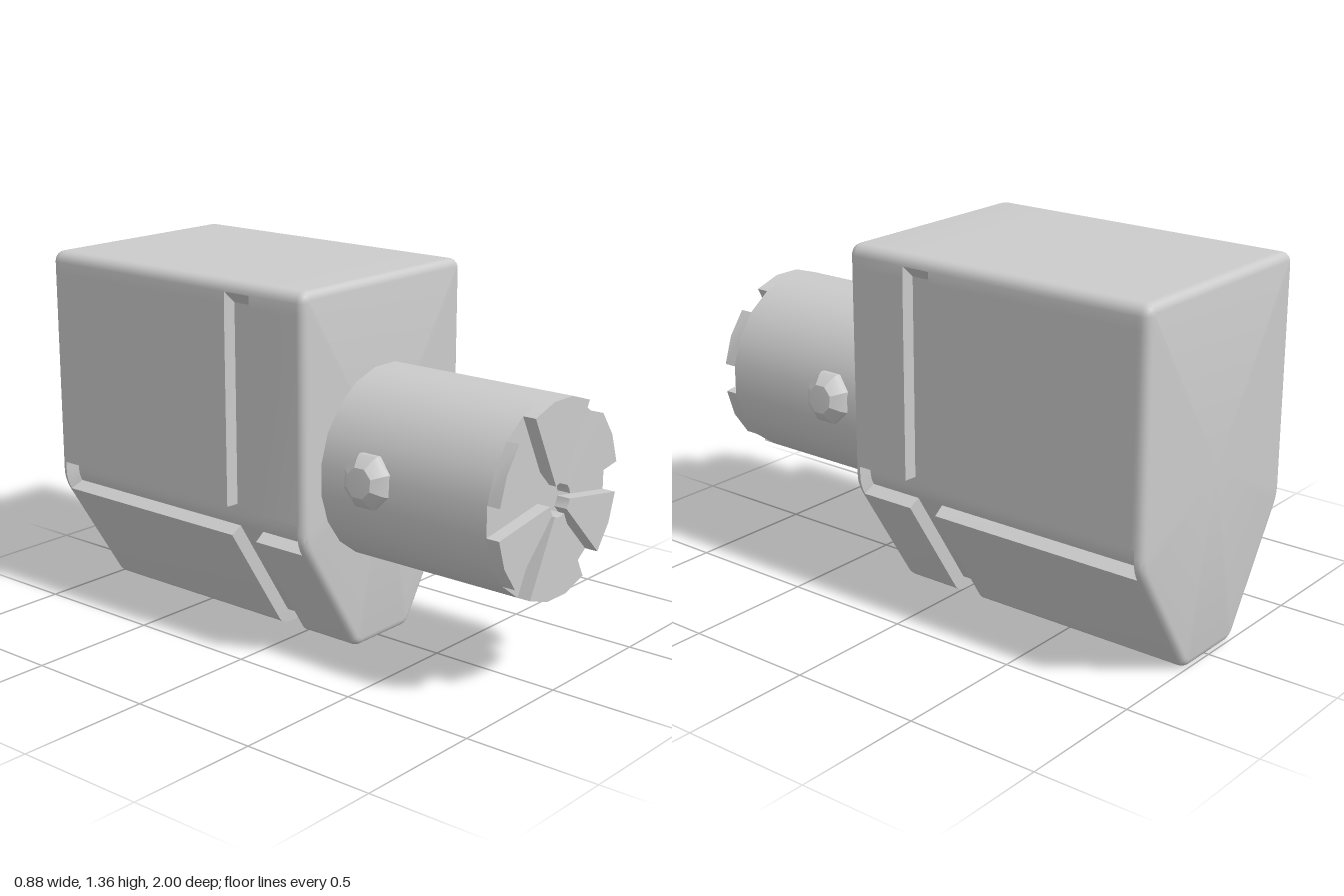
import * as THREE from 'three';
import { toCreasedNormals } from 'three/addons/utils/BufferGeometryUtils.js';

const material = new THREE.MeshStandardMaterial({ color: 0xcccccc });
const rad = THREE.MathUtils.degToRad;
const AXIS_Y = 0.687, BARREL_R = 0.352, GROOVE = 0.05;

function addMesh(parent, name, geometry) {
  const mesh = new THREE.Mesh(geometry, material);
  mesh.name = name;
  parent.add(mesh);
  return mesh;
}

// Right half of the housing profile, bottom to top: position, normal and
// whether the point sinks with the long groove (notch) or the cross groove (band).
function halfProfile() {
  const pts = [];
  const add = (x, y, angle, notch, band) =>
    pts.push({ x, y, nx: Math.cos(angle), ny: Math.sin(angle), notch, band });
  const arc = (cx, cy, r, from, to, n, notch, band) => {
    for (let i = 0; i <= n; i++) {
      const a = rad(from + (to - from) * i / n);
      add(cx + r * Math.cos(a), cy + r * Math.sin(a), a, notch, band);
    }
  };
  arc(0.117, 0.06, 0.06, -90, -32.3, 5, 0, 1);
  add(0.417, 0.423, rad(-32.3), 0, 1);
  arc(0.29, 0.503, 0.15, -32.3, 0, 4, 1, 1);
  add(0.44, 0.535, 0, 1, 1);
  add(0.44, 0.535, 0, 0, 1);
  add(0.44, 1.27, 0, 0, 1);
  arc(0.4, 1.315, 0.04, 0, 90, 5, 0, 0);
  return pts;
}

// Full closed section at z, with an overall inset and the two groove depths.
function section(z, inset, notch, band) {
  const right = halfProfile().map(p => {
    const d = inset + Math.max(p.notch * notch, p.band * band);
    return [p.x - p.nx * d, p.y - p.ny * d, z];
  });
  const left = right.map(([x, y]) => [-x, y, z]).reverse();
  return [...right, ...left];
}

function housingGeometry() {
  const sections = [], bevel = 0.03, steps = 4;
  const G = GROOVE;
  // rounded front edge
  for (let i = 0; i <= steps; i++) {
    const a = (i / steps) * Math.PI / 2;
    sections.push(section(0.25 - bevel * (1 - Math.cos(a)), bevel * (1 - Math.sin(a)), 0, 0));
  }
  // long groove, interrupted by the cross groove
  sections.push(
    section(0.215, 0, G, 0), section(0.003, 0, G, 0),
    section(0, 0, G, G), section(-0.11, 0, G, G),
    section(-0.113, 0, G, 0), section(-0.955, 0, G, 0));
  // rounded back edge
  for (let i = 0; i <= steps; i++) {
    const a = (1 - i / steps) * Math.PI / 2;
    sections.push(section(-1 + bevel * (1 - Math.cos(a)), bevel * (1 - Math.sin(a)), 0, 0));
  }
  const pos = [];
  const tri = (...corners) => corners.forEach(c => pos.push(...c));
  const n = sections[0].length;
  const first = sections[0], last = sections[sections.length - 1];
  for (let j = 0; j < n; j++) {
    const k = (j + 1) % n;
    for (let i = 0; i < sections.length - 1; i++) {
      const a = sections[i][j], b = sections[i][k];
      const c = sections[i + 1][k], d = sections[i + 1][j];
      tri(a, d, c);
      tri(a, c, b);
    }
    // end faces
    tri([0, 0.7, first[0][2]], first[j], first[k]);
    tri([0, 0.7, last[0][2]], last[k], last[j]);
  }
  const geo = new THREE.BufferGeometry();
  geo.setAttribute('position', new THREE.Float32BufferAttribute(pos, 3));
  return toCreasedNormals(geo, 0.5);
}

// Wedge tooth spanning a number of barrel facets
function toothGeometry(startDeg, facets) {
  const shape = new THREE.Shape();
  const at = (r, i) => [r * Math.cos(rad(startDeg + 18 * i)), r * Math.sin(rad(startDeg + 18 * i))];
  shape.moveTo(...at(0.06, 0));
  for (let i = 0; i <= facets; i++) shape.lineTo(...at(BARREL_R, i));
  for (let i = facets; i > 0; i--) shape.lineTo(...at(0.06, i));
  shape.closePath();
  const geo = new THREE.ExtrudeGeometry(shape, { depth: 0.05, bevelEnabled: false });
  return toCreasedNormals(geo, 0.5);
}

export function createModel() {
  const model = new THREE.Group();
  model.name = 'toolHead';
  addMesh(model, 'housing', housingGeometry());

  // barrel with a toothed front face
  const barrel = new THREE.Group();
  barrel.name = 'barrel';
  barrel.position.y = AXIS_Y;
  model.add(barrel);
  const tube = new THREE.CylinderGeometry(BARREL_R, BARREL_R, 0.75, 20, 1, false, rad(9));
  addMesh(barrel, 'barrelTube', tube.rotateX(Math.PI / 2)).position.z = 0.575;
  for (const [start, facets] of [[9, 2], [63, 3], [135, 2], [189, 2], [243, 3], [315, 2]]) {
    addMesh(barrel, 'tooth', toothGeometry(start, facets)).position.z = 0.95;
  }

  // locking studs on both sides, tipped slightly upward
  const profile = [[0.1, 0.28], [0.1, 0.355], [0.088, 0.372], [0.055, 0.4], [0, 0.402]]
    .map(([r, d]) => new THREE.Vector2(r, d));
  for (const side of [1, -1]) {
    const geo = toCreasedNormals(new THREE.LatheGeometry(profile, 8, Math.PI / 8), 0.5);
    const stud = addMesh(barrel, side > 0 ? 'leftStud' : 'rightStud', geo);
    stud.position.z = 0.455;
    stud.rotation.z = -side * rad(84);
  }
  return model;
}
